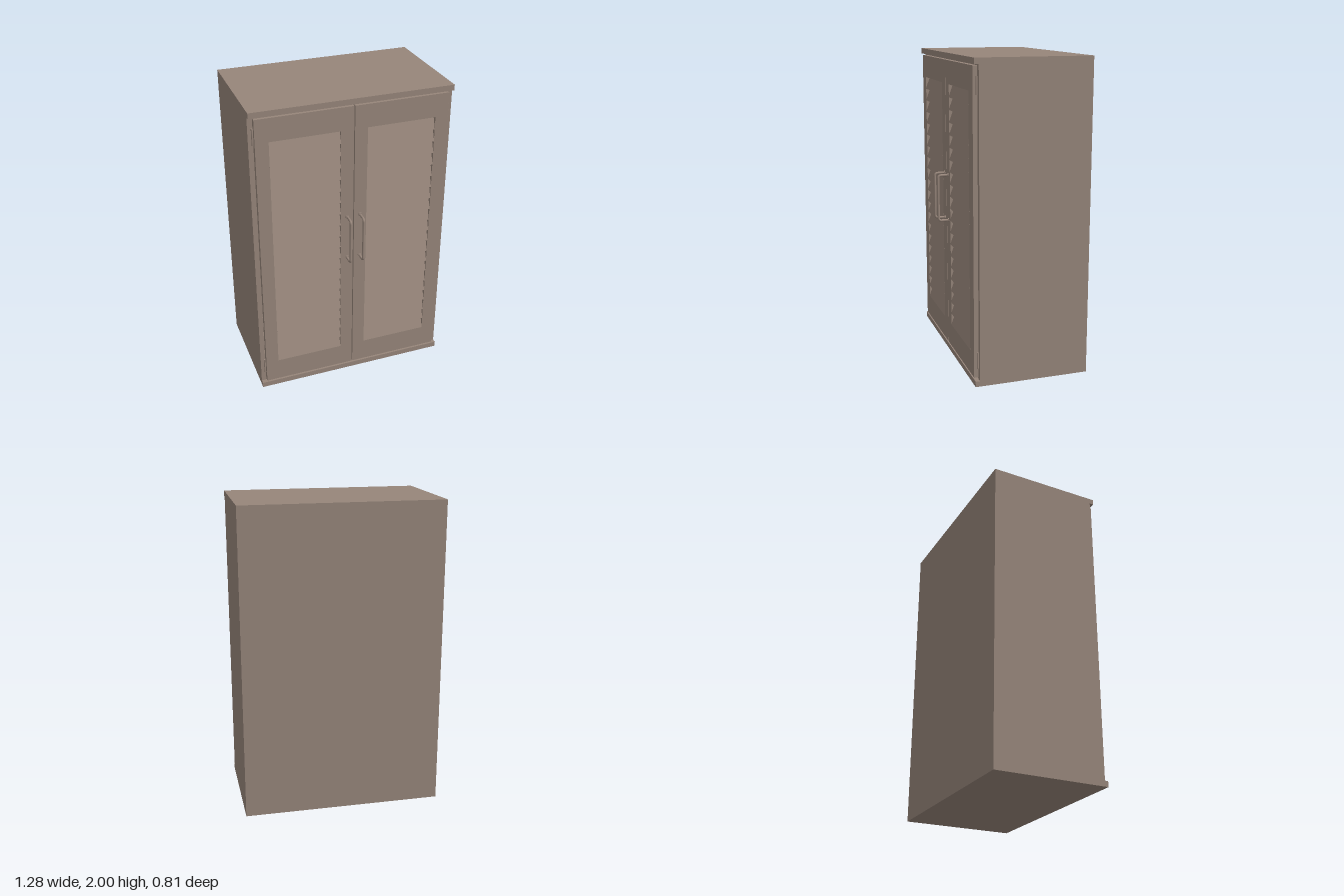
import * as THREE from 'three';

export function createModel() {
  const model = new THREE.Group();
  model.name = 'louvredCabinet';
  const paint = new THREE.MeshStandardMaterial({ color: 0x96857a });
  paint.name = 'taupe paint';

  const W = 1.284, H = 2, back = -0.408, sideFront = 0.302, front = 0.33;

  const add = (parent, name, geometry, x = 0, y = 0, z = 0) => {
    const mesh = new THREE.Mesh(geometry, paint);
    mesh.name = name;
    mesh.position.set(x, y, z);
    parent.add(mesh);
    return mesh;
  };
  // Box given by its minimum and maximum corners
  const slab = (parent, name, a, b) => add(parent, name,
    new THREE.BoxGeometry(b[0] - a[0], b[1] - a[1], b[2] - a[2]),
    (a[0] + b[0]) / 2, (a[1] + b[1]) / 2, (a[2] + b[2]) / 2);

  // Carcass: top and bottom reach further forward than the sides
  const w = W / 2, t = 0.036;
  slab(model, 'bottomPanel', [-w, 0, back], [w, t, front]);
  slab(model, 'topPanel', [-w, H - t, back], [w, H, front]);
  slab(model, 'backPanel', [-w + 0.03, t, back], [w - 0.03, H - t, back + 0.03]);
  for (const s of [-1, 1]) {
    const x0 = s * w, x1 = s * (w - 0.03);
    slab(model, 'sidePanel', [Math.min(x0, x1), t, back], [Math.max(x0, x1), H - t, sideFront]);
  }
  // Rails closing the gaps above and below the doors
  slab(model, 'bottomRail', [-w + 0.03, t, 0.27], [w - 0.03, 0.06, 0.3]);
  slab(model, 'topRail', [-w + 0.03, 1.94, 0.27], [w - 0.03, H - t, 0.3]);

  const rect = (Type, x0, y0, x1, y1) => new Type([
    new THREE.Vector2(x0, y0), new THREE.Vector2(x1, y0),
    new THREE.Vector2(x1, y1), new THREE.Vector2(x0, y1)]);

  // Door frame with one tall opening, symmetric about its own middle
  const openL = 0.085, openR = 0.527, openB = 0.202, openT = 1.806;
  const makeFrame = (s) => {
    const xs = (a, b) => (s > 0 ? [a, b] : [-b, -a]);
    const [a, b] = xs(0.003, 0.61), [c, d] = xs(openL, openR);
    const shape = rect(THREE.Shape, a, 0.048, b, 1.955);
    shape.holes.push(rect(THREE.Path, c, openB, d, openT));
    return new THREE.ExtrudeGeometry(shape, { depth: front - 0.3, bevelEnabled: false });
  };

  // Slat section: lower edge forward, face leaning back as it rises
  const count = 20, pitch = (openT - openB) / count;
  const section = new THREE.Shape([
    new THREE.Vector2(0, 0), new THREE.Vector2(0.032, 0), new THREE.Vector2(0.002, pitch), new THREE.Vector2(0, pitch)]);
  const slat = new THREE.ExtrudeGeometry(section, { depth: openR - openL, bevelEnabled: false });
  slat.rotateY(-Math.PI / 2);
  slat.translate((openR - openL) / 2, 0, 0);

  // Pull handle path with rounded corners
  const lowY = 0.917, highY = 1.218, reach = 0.397, r = 0.02;
  const v = (y, z) => new THREE.Vector3(0, y, z);
  const path = new THREE.CurvePath();
  path.add(new THREE.LineCurve3(v(lowY, front), v(lowY, reach - r)));
  path.add(new THREE.QuadraticBezierCurve3(v(lowY, reach - r), v(lowY, reach), v(lowY + r, reach)));
  path.add(new THREE.LineCurve3(v(lowY + r, reach), v(highY - r, reach)));
  path.add(new THREE.QuadraticBezierCurve3(v(highY - r, reach), v(highY, reach), v(highY, reach - r)));
  path.add(new THREE.LineCurve3(v(highY, reach - r), v(highY, front)));
  const pull = new THREE.TubeGeometry(path, 90, 0.008, 12, false);
  const flange = new THREE.CylinderGeometry(0.014, 0.014, 0.006, 20);
  flange.rotateX(Math.PI / 2);
  const hinge = new THREE.CylinderGeometry(0.006, 0.006, 0.105, 16);

  for (const s of [-1, 1]) {
    const door = new THREE.Group();
    door.name = s > 0 ? 'leftDoor' : 'rightDoor';
    model.add(door);
    add(door, 'doorFrame', makeFrame(s), 0, 0, 0.3);
    for (let i = 0; i < count; i++) {
      add(door, 'louvreSlat', slat, s * (openL + openR) / 2, openB + i * pitch, 0.3);
    }
    add(door, 'handle', pull, s * 0.043);
    for (const y of [lowY, highY]) add(door, 'handleFlange', flange, s * 0.043, y, front + 0.003);
    for (const y of [0.162, 1.842]) add(door, 'hinge', hinge, s * 0.616, y, 0.308);
  }
  return model;
}
